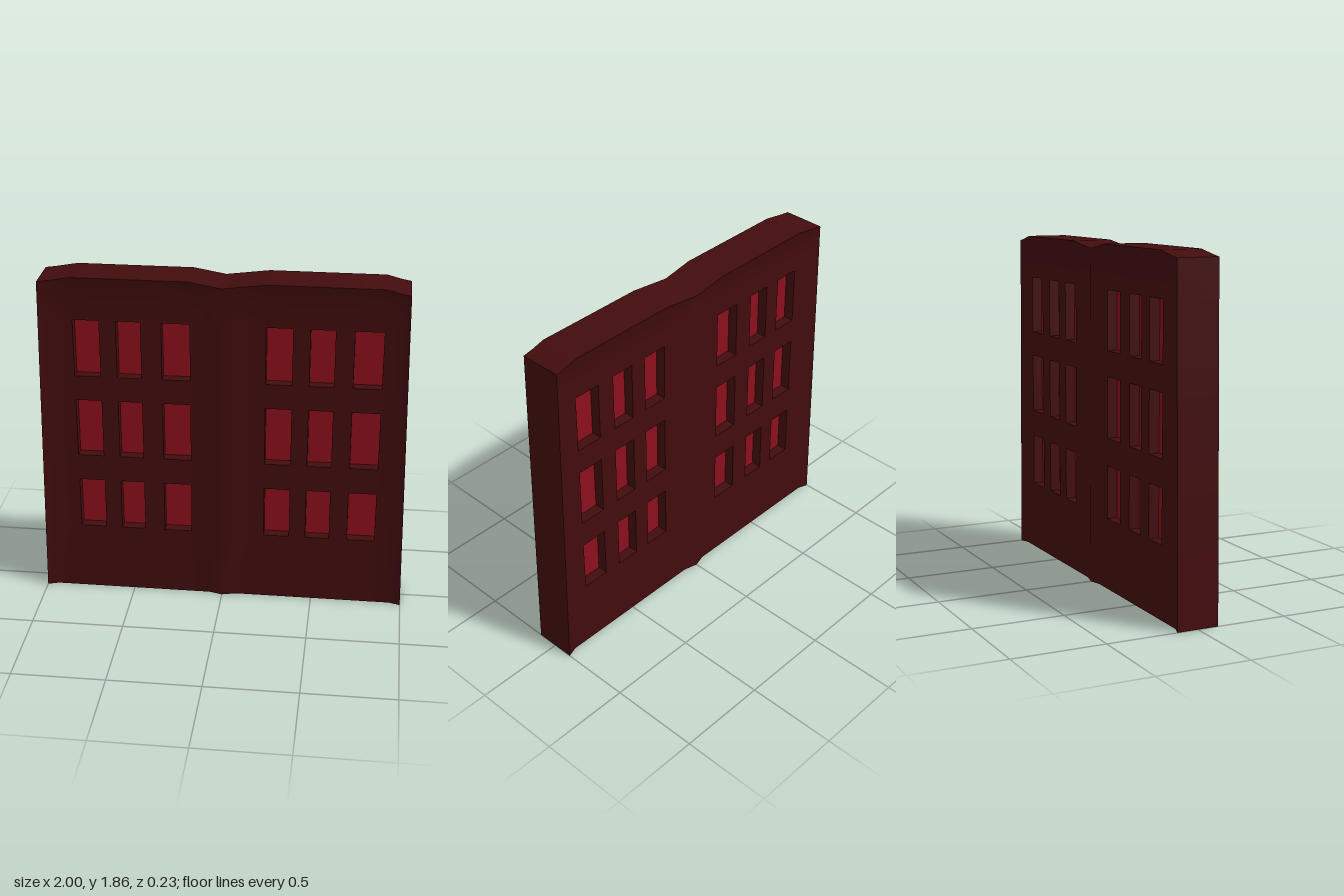
import * as THREE from 'three';
import { toCreasedNormals } from 'three/addons/utils/BufferGeometryUtils.js';

const columns = [[-0.79, -0.65], [-0.56, -0.43], [-0.32, -0.17], [0.23, 0.37], [0.46, 0.59], [0.69, 0.84]];
const rows = [[0.39, 0.68], [0.83, 1.16], [1.3, 1.62]];
const RIM = 0.115, FACE = 0.095, PANE = 0.038, TOP = 1.86, DIP = 1.83;

// Grid lines: outer edges, centre rib and every window edge
const xs = [-1, -0.94, ...columns.slice(0, 3).flat(), -0.07, 0, 0.08, ...columns.slice(3).flat(), 0.94, 1];
const ys = [0, ...rows.flat(), 1.78, TOP];

// Top outline: two shallow humps with a dip between them
function topHeight(x) {
  const outline = [[-1, DIP], [-0.79, TOP], [-0.17, TOP], [0, DIP], [0.23, TOP], [0.84, TOP], [1, DIP]];
  const i = Math.max(1, outline.findIndex(p => x <= p[0]));
  const [a, b] = [outline[i - 1], outline[i]];
  return a[1] + (b[1] - a[1]) * (x - a[0]) / (b[0] - a[0]);
}

// Wall point: sides lean inwards, edges, centre rib and top lip stand proud
function wallPoint(i, j, side) {
  const x = xs[i], top = j === ys.length - 1;
  const y = top ? topHeight(x) : ys[j];
  const lean = Math.abs(x) > 0.9 ? 1 - 0.034 * y / DIP : 1;
  const proud = top || x === 0 || Math.abs(x) === 1;
  return [x * lean, y, side * (proud ? RIM : FACE)];
}

function quadMesh(name, quads, material) {
  const positions = quads.flatMap(([a, b, c, d]) => [...a, ...b, ...c, ...a, ...c, ...d]);
  const geometry = new THREE.BufferGeometry();
  geometry.setAttribute('position', new THREE.Float32BufferAttribute(positions, 3));
  const mesh = new THREE.Mesh(toCreasedNormals(geometry, 0.6), material);
  mesh.name = name;
  return mesh;
}

export function createModel() {
  const group = new THREE.Group();
  group.name = 'facade';
  const wallMaterial = new THREE.MeshStandardMaterial({ color: 0x430c0e });
  const paneMaterial = new THREE.MeshStandardMaterial({ color: 0x8c0f1c });
  const nx = xs.length - 1, ny = ys.length - 1;
  const isWindow = (i, j) => columns.some(c => c[0] === xs[i] && c[1] === xs[i + 1])
    && rows.some(r => r[0] === ys[j] && r[1] === ys[j + 1]);

  // Front and back walls with their window recesses
  for (const side of [1, -1]) {
    const label = side > 0 ? 'front' : 'back';
    const wall = [], reveals = [], panes = [];
    const add = (list, quad) => list.push(side > 0 ? quad : quad.reverse());
    for (let i = 0; i < nx; i++) for (let j = 0; j < ny; j++) {
      const outer = [[i, j], [i + 1, j], [i + 1, j + 1], [i, j + 1]].map(([a, b]) => wallPoint(a, b, side));
      if (!isWindow(i, j)) {
        add(wall, outer);
        continue;
      }
      const inner = outer.map(([x, y]) => [x, y, side * PANE]);
      add(panes, [...inner]);
      for (let k = 0; k < 4; k++) {
        const n = (k + 1) % 4;
        add(reveals, [outer[k], outer[n], inner[n], inner[k]]);
      }
    }
    group.add(
      quadMesh(label + 'Wall', wall, wallMaterial),
      quadMesh(label + 'WindowReveals', reveals, wallMaterial),
      quadMesh(label + 'WindowPanes', panes, paneMaterial));
  }

  // Top, underside and the two ends join the walls
  const strip = (a, b) => [wallPoint(...a, 1), wallPoint(...b, 1), wallPoint(...b, -1), wallPoint(...a, -1)];
  const top = [], underside = [], ends = [];
  for (let i = 0; i < nx; i++) {
    top.push(strip([i, ny], [i + 1, ny]));
    underside.push(strip([i + 1, 0], [i, 0]));
  }
  for (let j = 0; j < ny; j++) {
    ends.push(strip([0, j], [0, j + 1]));
    ends.push(strip([nx, j + 1], [nx, j]));
  }
  group.add(
    quadMesh('topEdge', top, wallMaterial),
    quadMesh('underside', underside, wallMaterial),
    quadMesh('ends', ends, wallMaterial));
  return group;
}
